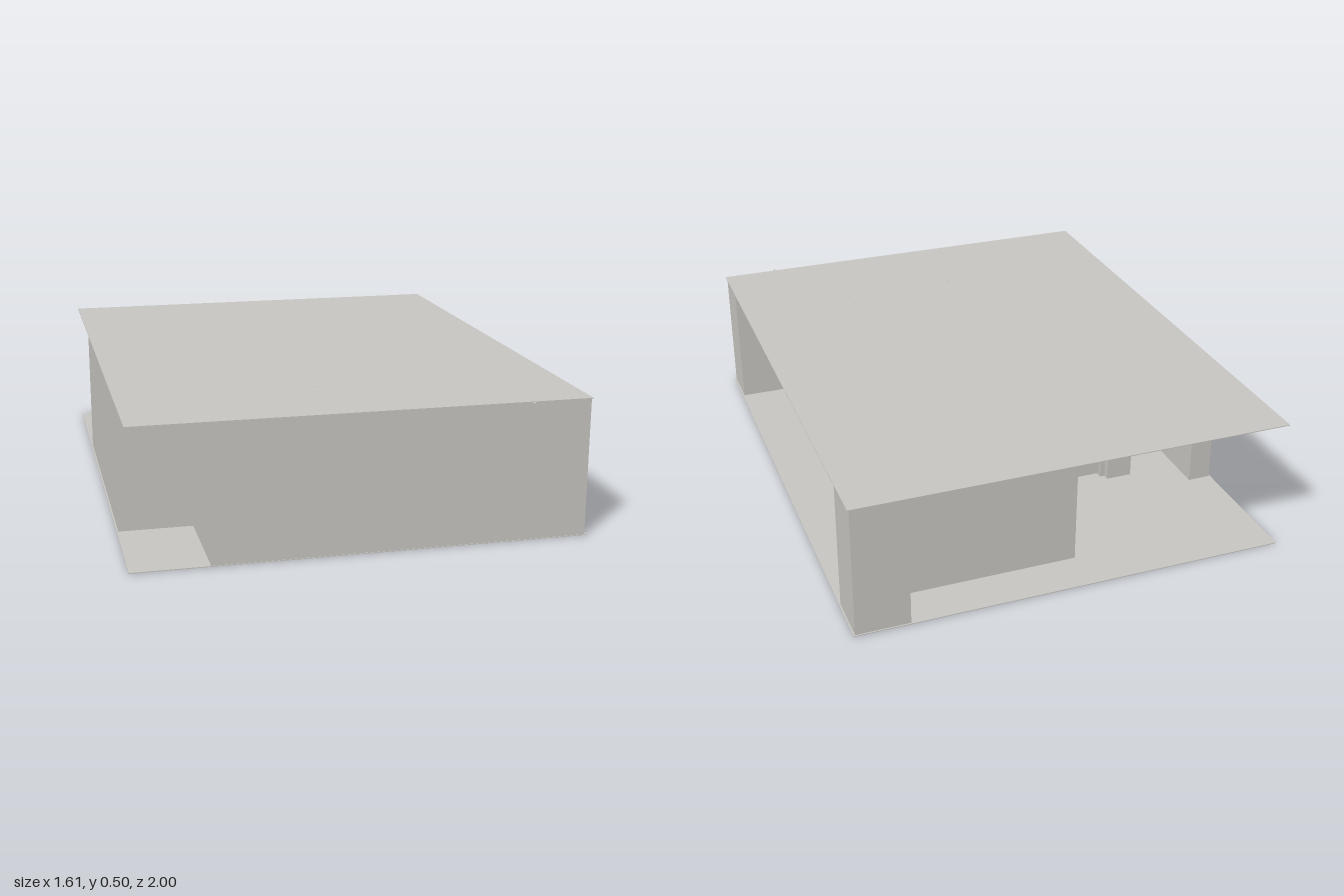
import * as THREE from 'three';

export function createModel() {
  const model = new THREE.Group();
  const plaster = new THREE.MeshStandardMaterial({ color: 0xc8c6c1 });
  plaster.name = 'warmGrey';
  const wood = new THREE.MeshStandardMaterial({ color: 0x6b5540 });
  wood.name = 'darkBrown';

  // Box given by its lower and upper limits on each axis
  function block(name, [x0, x1], [y0, y1], [z0, z1], material = plaster) {
    const mesh = new THREE.Mesh(new THREE.BoxGeometry(x1 - x0, y1 - y0, z1 - z0), material);
    mesh.position.set((x0 + x1) / 2, (y0 + y1) / 2, (z0 + z1) / 2);
    mesh.name = name;
    model.add(mesh);
    return mesh;
  }
  const floorTop = 0.004, ceiling = 0.497;
  const wall = (name, x, z) => block(name, x, [floorTop, ceiling], z);

  // Floor and flat roof
  block('floorSlab', [-0.803, 0.803], [0.001, floorTop], [-1, 0.985]);
  block('roofSlab', [-0.803, 0.803], [ceiling, 0.5], [-1, 0.985]);
  block('roofSpout', [0.58, 0.588], [0.492, 0.498], [0.98, 1]);

  // Front wall, its stepped corner and the left wall
  wall('frontWall', [-0.53, 0.797], [0.9, 0.983]);
  wall('frontNotchReturn', [-0.53, -0.45], [0.5, 0.92]);
  wall('frontNotchWall', [-0.797, -0.45], [0.5, 0.59]);
  wall('leftWall', [-0.797, -0.71], [-0.5, 0.59]);

  // Corner piers on the right
  wall('frontCornerPier', [0.6, 0.797], [0.81, 0.983]);
  wall('backCornerPier', [0.6, 0.797], [-0.995, -0.81]);

  // Recessed right wall: solid pieces between tall windows
  const solids = [[0.78, 0.81], [0.39, 0.455], [-0.09, 0.13], [-0.61, -0.42], [-0.81, -0.7]];
  for (const z of solids) wall('rightWall', [0.52, 0.62], z);
  const windows = [[0.62, 0.78], [0.455, 0.61], [0.13, 0.39], [-0.26, -0.09], [-0.42, -0.27], [-0.7, -0.61]];
  for (const z of windows) {
    block('rightWindow', [0.57, 0.605], [0.012, 0.488], z);
    for (const y of [[floorTop, 0.012], [0.488, ceiling]]) block('windowRail', [0.54, 0.612], y, z);
  }
  for (const z of [0.615, -0.265]) block('windowMullion', [0.56, 0.612], [0.012, 0.488], [z - 0.005, z + 0.005]);

  // Back wall stepping in towards the rear entrance
  wall('backWall', [-0.07, 0.62], [-0.835, -0.69]);
  wall('backSideGlazing', [0.02, 0.05], [-0.7, -0.56]);
  wall('entrancePier', [-0.08, 0.1], [-0.57, -0.4]);
  wall('entranceWall', [-0.13, 0], [-0.41, -0.3]);
  wall('entranceSidePier', [-0.51, -0.41], [-0.38, -0.19]);
  wall('backNotchWall', [-0.75, -0.45], [-0.25, -0.18]);

  // Rear door with its frame
  block('rearDoor', [-0.39, -0.13], [0.012, 0.47], [-0.34, -0.32]);
  for (const x of [-0.41, -0.14]) block('doorJamb', [x, x + 0.02], [floorTop, ceiling], [-0.355, -0.31]);
  block('doorHead', [-0.41, -0.12], [0.47, ceiling], [-0.355, -0.31]);

  // Slim posts reaching through the roof
  for (const x of [-0.09, 0.355]) {
    for (const z of [0.61, 0.81]) {
      const post = new THREE.Mesh(new THREE.CylinderGeometry(0.007, 0.007, 0.497, 10), plaster);
      post.position.set(x, 0.252, z);
      post.name = 'slimPost';
      model.add(post);
    }
  }

  // Dark wooden patches in the underside of the floor
  const patches = [
    [0.24, -0.46, 0.4, 0.07], [0.315, -0.055, 0.24, 0.07], [-0.12, 0.955, 0.46, 0.035],
    [-0.46, -0.05, 0.07, 0.04], [-0.74, -0.11, 0.08, 0.02],
  ];
  for (const [x, z, w, d] of patches) {
    block('floorPatch', [x - w / 2, x + w / 2], [0, 0.003], [z - d / 2, z + d / 2], wood);
  }

  return model;
}
